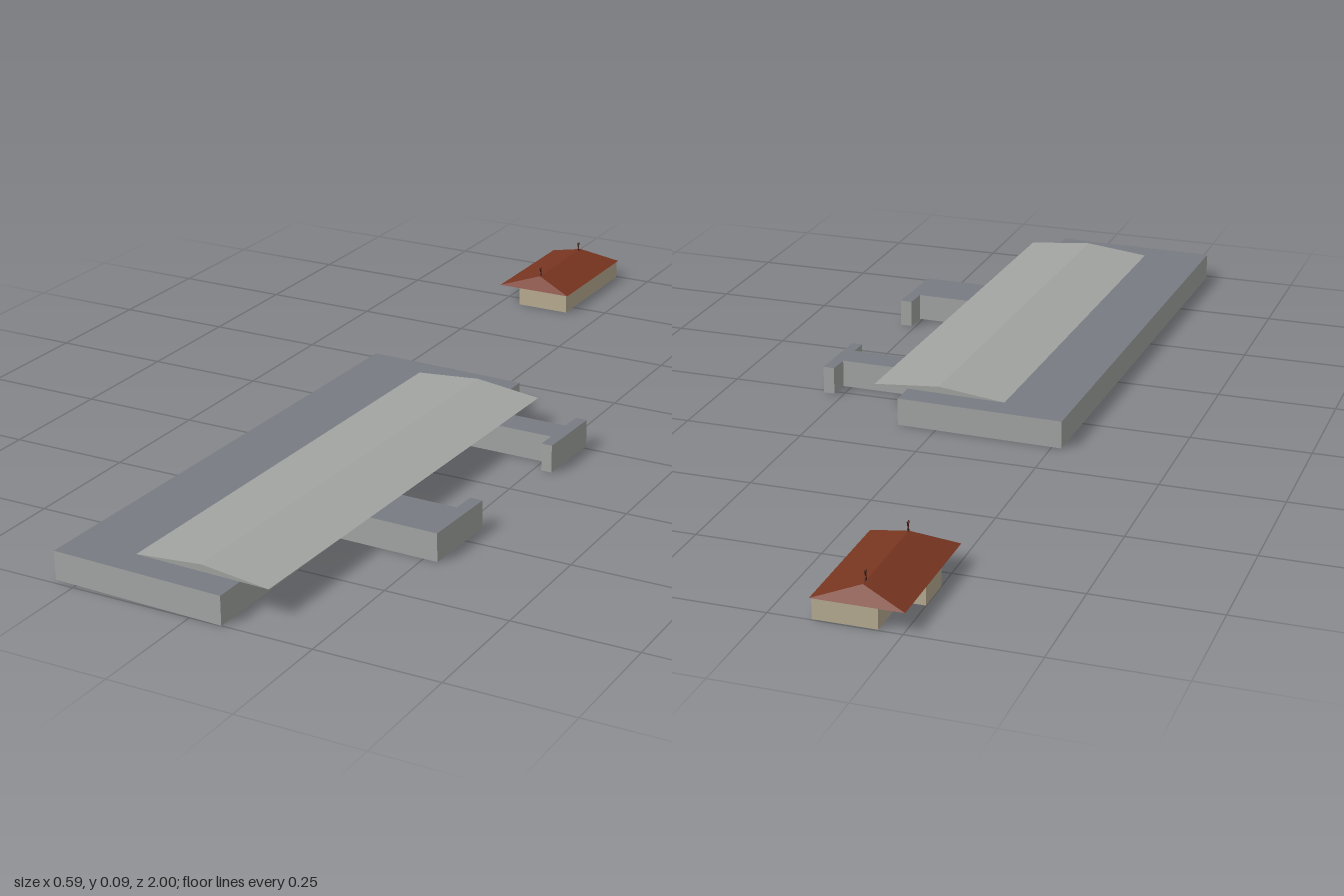
import * as THREE from 'three';

const mat = (name, color) => {
  const m = new THREE.MeshStandardMaterial({ color, side: THREE.DoubleSide });
  m.name = name;
  return m;
};

// Flat-shaded geometry from polygon faces (corners counter-clockwise from outside)
function faces(list) {
  const pos = [];
  for (const f of list)
    for (let i = 1; i < f.length - 1; i++) pos.push(...f[0], ...f[i], ...f[i + 1]);
  const g = new THREE.BufferGeometry();
  g.setAttribute('position', new THREE.Float32BufferAttribute(pos, 3));
  g.computeVertexNormals();
  return g;
}

// Upright walls around an [x, z] outline, listed clockwise as seen from above
function walls(outline, h) {
  return faces(outline.map(([x, z], i) => {
    const [u, w] = outline[(i + 1) % outline.length];
    return [[x, 0, z], [x, h, z], [u, h, w], [u, 0, w]];
  }));
}

// Level cover over an outline
function deck(outline, h) {
  const shape = new THREE.Shape(outline.map(([x, z]) => new THREE.Vector2(x, -z)));
  return new THREE.ShapeGeometry(shape).rotateX(-Math.PI / 2).translate(0, h, 0);
}

export function createModel() {
  const root = new THREE.Group();
  const wallGrey = mat('wall grey', 0xa2a5a3);
  const deckGrey = mat('flat roof slate', 0x787c82);
  const roofGrey = mat('pitched roof grey', 0xa1a4a1);
  const beige = mat('beige wall', 0xb9ad93);
  const tile = mat('red brown roof', 0x773520);
  const wood = mat('dark wood', 0x4a2013);

  const add = (parent, name, geometry, material) => {
    const m = new THREE.Mesh(geometry, material);
    m.name = name;
    parent.add(m);
    return m;
  };

  // Long hall with two side wings
  const hall = new THREE.Group();
  hall.name = 'hall';
  root.add(hall);
  const H = 0.058;
  const outline = [
    [-0.27, -0.14], [0.083, -0.13],
    [0.081, 0.033], [0.268, 0.036], [0.27, -0.012], [0.294, -0.011],
    [0.289, 0.142], [0.266, 0.141], [0.267, 0.1], [0.08, 0.098],
    [0.074, 0.484], [0.258, 0.487], [0.26, 0.436], [0.286, 0.437],
    [0.279, 0.604], [0.072, 0.6],
    [0.066, 1], [-0.296, 0.988],
  ];
  add(hall, 'hallWalls', walls(outline, H), wallGrey);
  add(hall, 'hallFlatRoof', deck(outline, H), deckGrey);

  // Low pitched roof over the platform side
  const e = 0.0588, r = 0.073;
  const bl = [-0.131, e, -0.082], br = [0.156, e, -0.07], bt = [0.013, r, -0.076];
  const fl = [-0.156, e, 0.932], fr = [0.128, e, 0.941], ft = [-0.014, r, 0.937];
  add(hall, 'hallPitchedRoof', faces([
    [bl, fl, ft, bt], [bt, ft, fr, br], [fl, fr, ft], [br, bl, bt],
  ]), roofGrey);

  // Small house with a porch under the deep eave
  const house = new THREE.Group();
  house.name = 'house';
  root.add(house);
  add(house, 'houseWalls', walls([
    [-0.204, -0.997], [-0.082, -0.997], [-0.082, -0.71], [-0.204, -0.71],
    [-0.204, -0.805], [-0.25, -0.805], [-0.25, -0.885], [-0.204, -0.885],
  ], 0.041), beige);

  // Hipped roof
  const y = 0.041, x0 = -0.254, x1 = -0.079, z0 = -1, z1 = -0.709;
  const a = [x0, y, z0], b = [x1, y, z0], c = [x1, y, z1], d = [x0, y, z1];
  const p = [-0.166, 0.067, -0.969], q = [-0.166, 0.067, -0.741];
  add(house, 'houseRoof', faces([[a, d, q, p], [c, b, p, q], [d, c, q], [b, a, p]]), tile);

  // Crossed boards at each end of the ridge
  for (const z of [-0.955, -0.745])
    for (const s of [-1, 1]) {
      const board = add(house, 'ridgeBoard', new THREE.BoxGeometry(0.002, 0.023, 0.002), wood);
      board.position.set(-0.166, 0.0765, z);
      board.rotation.x = s * 0.35;
    }
  return root;
}
